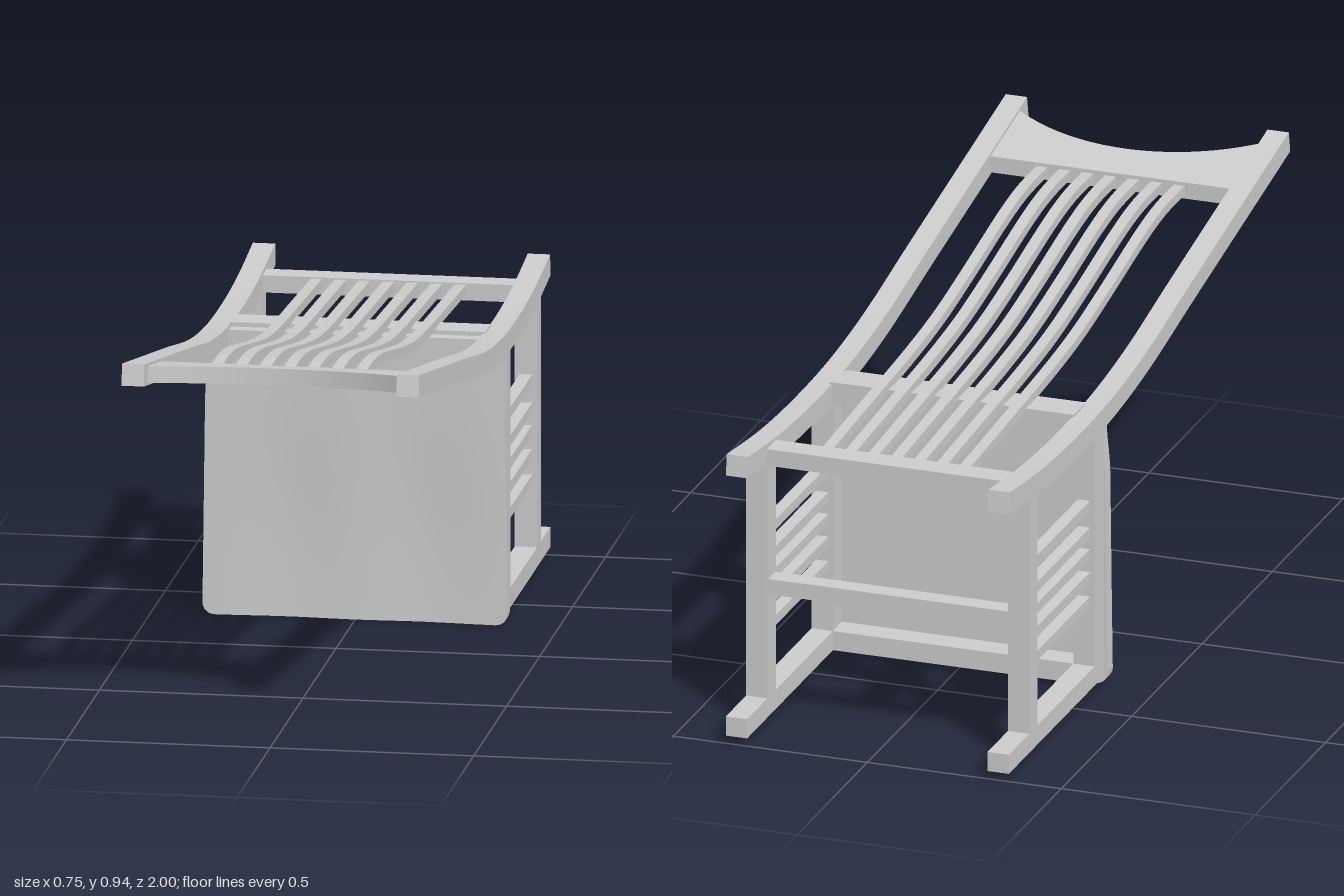
import * as THREE from 'three';
import { toCreasedNormals } from 'three/addons/utils/BufferGeometryUtils.js';

const material = new THREE.MeshStandardMaterial({ color: 0xcccccc });

// Spline through [z, y] points, thickened and extruded across x
function curvedBar(points, thickness, width) {
  const curve = new THREE.SplineCurve(points.map(([z, y]) => new THREE.Vector2(-z, y)));
  const upper = [], lower = [], n = 40;
  for (let i = 0; i <= n; i++) {
    const p = curve.getPoint(i / n), t = curve.getTangent(i / n);
    const normal = new THREE.Vector2(-t.y, t.x).multiplyScalar(thickness / 2);
    upper.push(p.clone().add(normal));
    lower.push(p.clone().sub(normal));
  }
  const shape = new THREE.Shape([...lower, ...upper.reverse()]);
  const geo = new THREE.ExtrudeGeometry(shape, { depth: width, bevelEnabled: false });
  geo.translate(0, 0, -width / 2).rotateY(Math.PI / 2);
  return toCreasedNormals(geo, 0.5);
}

// Seat board: tapered outline, rounded lower corners, shallow dished front
function seatGeometry() {
  const height = 0.713, half = 0.375, r = 0.03, back = -0.325, front = -0.287;
  const geo = new THREE.BoxGeometry(2, 1, 1, 40, 40, 1);
  const pos = geo.attributes.position;
  const bump = (d, s) => Math.exp(-(d * d) / (s * s));
  for (let i = 0; i < pos.count; i++) {
    const v = pos.getY(i) + 0.5;
    const y = height * v ** 1.7;
    let w = half - 0.007 * Math.min(1, y / 0.55);
    w -= 0.009 * THREE.MathUtils.smoothstep(y, 0.54, 0.67);
    if (y < r) w -= r - Math.sqrt(r * r - (r - y) ** 2);
    const x = pos.getX(i) * w;
    const hollow = 0.014 * (bump(x - 0.16, 0.13) + bump(x + 0.16, 0.13)) * bump(y - 0.2, 0.3);
    const z = pos.getZ(i) > 0 ? front - hollow : back;
    pos.setXYZ(i, x, y, z);
  }
  return toCreasedNormals(geo, 0.6);
}

// Crest board with an arched outer edge, sloping with the back
function crestGeometry() {
  const shape = new THREE.Shape();
  shape.moveTo(-0.315, -0.73);
  shape.lineTo(-0.315, -0.942);
  for (let i = 0; i <= 32; i++) {
    const x = -0.31 + (0.62 * i) / 32;
    const z = 0.35 + Math.sqrt(0.49 ** 2 - 0) + (0.53 - Math.sqrt(0.53 ** 2 - x * x));
    shape.lineTo(x, -z);
  }
  shape.lineTo(0.315, -0.942);
  shape.lineTo(0.315, -0.73);
  const geo = new THREE.ExtrudeGeometry(shape, { depth: 0.042, bevelEnabled: false });
  geo.rotateX(-Math.PI / 2);
  const pos = geo.attributes.position;
  for (let i = 0; i < pos.count; i++) {
    pos.setY(i, pos.getY(i) + 0.845 + 0.188 * (pos.getZ(i) - 0.73));
  }
  return toCreasedNormals(geo, 0.5);
}

export function createModel() {
  const group = new THREE.Group();
  const add = (name, geo, x = 0) => {
    const mesh = new THREE.Mesh(geo, material);
    mesh.name = name;
    mesh.position.x = x;
    group.add(mesh);
  };
  // Box given by its limits on each axis
  const bar = (name, x0, x1, y0, y1, z0, z1) => {
    const geo = new THREE.BoxGeometry(x1 - x0, y1 - y0, z1 - z0);
    add(name, geo.translate((x0 + x1) / 2, (y0 + y1) / 2, (z0 + z1) / 2));
  };

  // Long curved back posts
  const post = curvedBar([[0.995, 0.917], [0.65, 0.852], [0.3, 0.786], [0, 0.728],
    [-0.25, 0.698], [-0.5, 0.69], [-0.75, 0.699], [-0.996, 0.726]], 0.054, 0.055);
  for (const s of [-1, 1]) {
    const side = s > 0 ? 'left' : 'right';
    const sideBar = (name, y0, y1, z0, z1, inner = 0.31, outer = 0.365) =>
      bar(side + name, Math.min(s * inner, s * outer), Math.max(s * inner, s * outer), y0, y1, z0, z1);
    add(side + 'BackPost', post, s * 0.3375);
    sideBar('SeatRail', 0.02, 0.69, -0.39, -0.32);
    sideBar('FrontLeg', 0.02, 0.07, -1, -0.32);
    sideBar('SideStretcher', 0.07, 0.69, -0.855, -0.795);
    // Side slats between seat rail and stretcher
    for (const y of [0.238, 0.302, 0.362, 0.418, 0.488]) {
      sideBar('SideSlat', y - 0.013, y + 0.013, -0.8, -0.385, 0.322, 0.353);
    }
  }

  // Cross rails
  bar('rearSeatRail', -0.315, 0.315, 0.665, 0.724, -0.4, -0.32);
  bar('frontSeatRail', -0.315, 0.315, 0.02, 0.07, -0.39, -0.32);
  bar('lowerBackRail', -0.315, 0.315, 0.68, 0.723, -0.86, -0.795);
  bar('crossStretcher', -0.315, 0.315, 0.34, 0.38, -0.85, -0.8);

  add('seat', seatGeometry());
  add('crestRail', crestGeometry());

  // Curved back slats
  const slat = curvedBar([[0.74, 0.866], [0.6, 0.866], [0.45, 0.847], [0.2, 0.797],
    [0, 0.762], [-0.2, 0.742], [-0.45, 0.727], [-0.8, 0.707]], 0.024, 0.028);
  for (let i = -3; i <= 3; i++) add('backSlat', slat, i * 0.059);
  return group;
}
